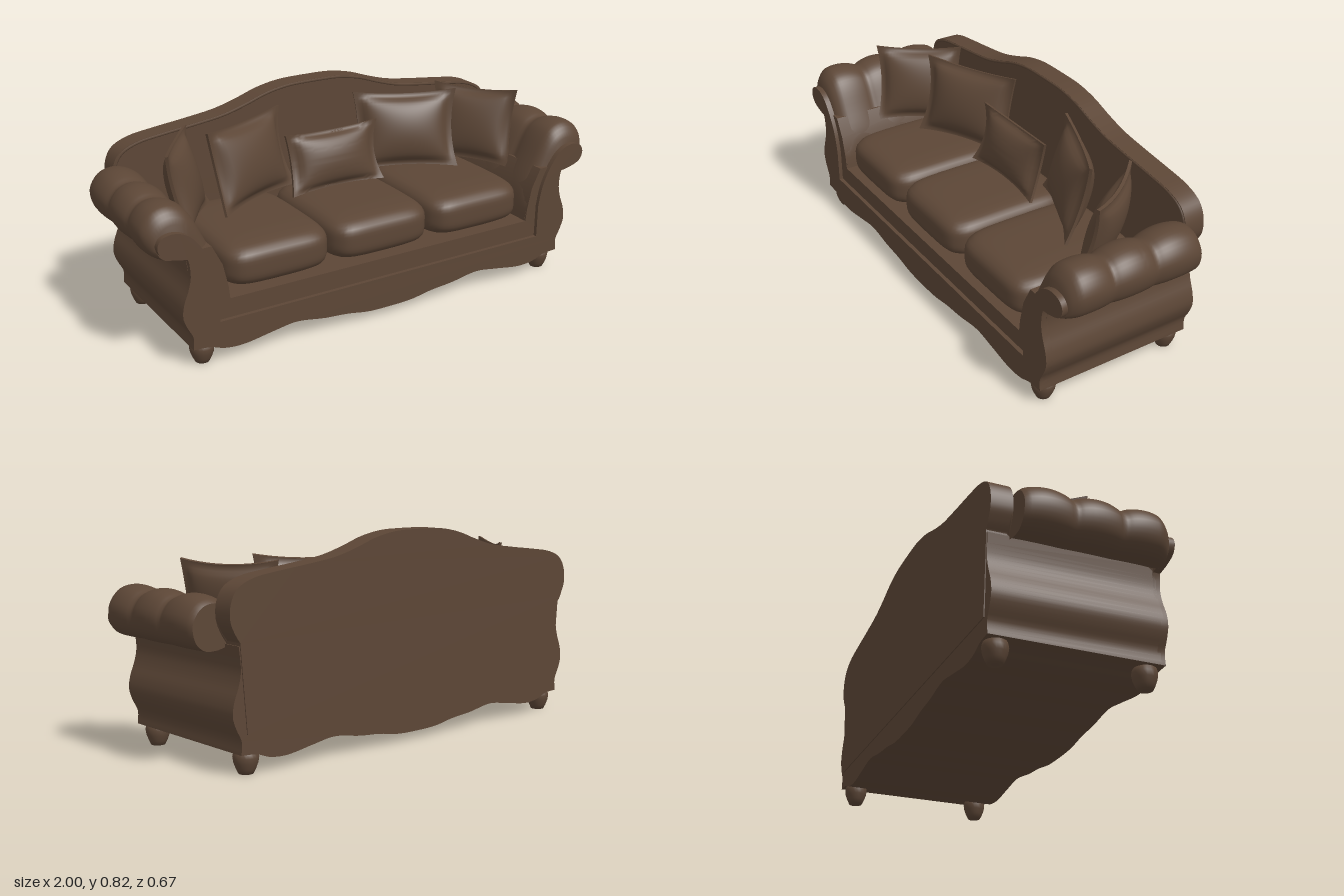
import * as THREE from 'three';
import { mergeVertices, toCreasedNormals } from 'three/addons/utils/BufferGeometryUtils.js';

const fabric = new THREE.MeshStandardMaterial({ color: 0x5c4636 });
fabric.name = 'brown upholstery';

const smooth = (pts, n = 32) =>
  new THREE.SplineCurve(pts.map(([x, y]) => new THREE.Vector2(x, y))).getPoints(n).map((p) => [p.x, p.y]);
const mirrored = (half) => [...half, ...half.map(([x, y]) => [-x, y]).reverse()];

function add(parent, name, geometry) {
  const mesh = new THREE.Mesh(geometry, fabric);
  mesh.name = name;
  parent.add(mesh);
  return mesh;
}

// Flat outline pushed from z0 to z1
function slab(outline, z0, z1) {
  const shape = new THREE.Shape(outline.map(([x, y]) => new THREE.Vector2(x, y)));
  const g = new THREE.ExtrudeGeometry(shape, { depth: z1 - z0, bevelEnabled: false });
  g.translate(0, 0, z0);
  return toCreasedNormals(g, 0.6);
}

function weld(g) {
  g.deleteAttribute('uv');
  g.deleteAttribute('normal');
  const m = mergeVertices(g, 1e-5);
  m.computeVertexNormals();
  return m;
}

// Rolled arm with three tufted lobes along its length
function armRoll() {
  const ring = smooth([[0.68, 0.2], [0.69, 0.29], [0.71, 0.38], [0.755, 0.48], [0.8, 0.57], [0.84, 0.613],
    [0.9, 0.63], [0.96, 0.61], [0.997, 0.55], [0.985, 0.48], [0.94, 0.442], [0.88, 0.44], [0.84, 0.44], [0.84, 0.2]], 52);
  const n = ring.length, rows = 48, zFront = 0.312, zBack = -0.25, pos = [], index = [];
  const ends = [0.13, -0.055];
  for (let r = 0; r <= rows + 2; r++) {
    const t = THREE.MathUtils.clamp((r - 1) / rows, 0, 1);
    const z = zFront + (zBack - zFront) * t;
    const lobe = z > ends[0] ? (zFront - z) / (zFront - ends[0])
      : z > ends[1] ? (ends[0] - z) / (ends[0] - ends[1]) : (ends[1] - z) / (ends[1] - zBack);
    const puff = Math.pow(Math.max(0, Math.sin(Math.PI * lobe)), 0.6);
    let k = 0.86 + 0.14 * puff;
    k *= 1 - 0.2 * Math.max(0, 1 - (zFront - z) / 0.05) ** 2;
    const cap = r === 0 || r === rows + 2;
    for (const [x, y] of ring) {
      const w = THREE.MathUtils.smoothstep(y, 0.3, 0.46), s = 1 + (k - 1) * w;
      if (cap) pos.push(0.84, 0.45, z);
      else pos.push(0.87 + (x - 0.87) * s, y > 0.44 ? 0.44 + (y - 0.44) * s : y, z);
    }
  }
  for (let r = 0; r < rows + 2; r++) {
    for (let i = 0; i < n; i++) {
      const a = r * n + i, b = r * n + (i + 1) % n;
      index.push(a, b, a + n, b, b + n, a + n);
    }
  }
  const g = new THREE.BufferGeometry();
  g.setAttribute('position', new THREE.Float32BufferAttribute(pos, 3));
  g.setIndex(index);
  return toCreasedNormals(g, 0.8);
}

// Soft box for the seat
function cushion(w, h, d) {
  const g = new THREE.BoxGeometry(2, 2, 2, 20, 12, 20), p = g.attributes.position;
  for (let i = 0; i < p.count; i++) {
    const [x, y, z] = [p.getX(i), p.getY(i), p.getZ(i)];
    const s = (Math.abs(x) ** 6 + Math.abs(y) ** 4 + Math.abs(z) ** 6) ** -0.19;
    const crown = 1 - 0.12 * (x * x + z * z) / 2;
    p.setXYZ(i, x * s * w / 2, y * s * crown * h / 2, z * s * d / 2);
  }
  return weld(g);
}

// Throw pillow: puffed middle, flat flange, pointed corners
function pillow(w, h, t) {
  const g = new THREE.BoxGeometry(2, 2, 2, 28, 28, 1), p = g.attributes.position;
  for (let i = 0; i < p.count; i++) {
    const [u, v, side] = [p.getX(i), p.getY(i), p.getZ(i)];
    const a = Math.min(1, Math.abs(u) / 0.87), b = Math.min(1, Math.abs(v) / 0.87);
    const puff = Math.pow((1 - a * a) * (1 - b * b), 0.45);
    const bend = 0.02 * u * u * v * v;
    p.setXYZ(i, u * w / 2 * (1 - 0.09 * (1 - v * v)), v * h / 2 * (1 - 0.09 * (1 - u * u)),
      side * (0.006 + puff * t / 2) + bend);
  }
  return toCreasedNormals(weld(g), 0.9);
}

export function createModel() {
  const sofa = new THREE.Group();
  sofa.name = 'sofa';

  // Scalloped hem and curved side, shared by the frame and the front facing
  const hem = smooth([[0, 0.034], [0.1, 0.037], [0.2, 0.053], [0.3, 0.062], [0.42, 0.08], [0.52, 0.068],
    [0.64, 0.05], [0.72, 0.055], [0.78, 0.075], [0.845, 0.08]], 40);
  const side = smooth([[0.845, 0.082], [0.843, 0.13], [0.865, 0.175], [0.879, 0.22], [0.872, 0.27],
    [0.853, 0.32], [0.842, 0.37], [0.845, 0.42]], 20);

  add(sofa, 'frame', slab(mirrored([...hem.slice(1), ...side, [0.85, 0.46], [0.75, 0.46], [0.71, 0.38],
    [0.69, 0.29], [0.685, 0.24]]), -0.33, 0.318));

  // Raised front facing that curls into the arm scrolls
  const scroll = smooth([[0.85, 0.438], [0.9, 0.448], [0.945, 0.468], [0.96, 0.505], [0.94, 0.537], [0.89, 0.545],
    [0.835, 0.52], [0.785, 0.455], [0.752, 0.38], [0.736, 0.3]], 36);
  add(sofa, 'frontFacing', slab(mirrored([...hem.slice(1), ...side, ...scroll, [0.735, 0.165]]), 0.305, 0.334));

  // Camel back with rounded shoulders
  const shoulders = smooth([[0.845, 0.47], [0.868, 0.505], [0.886, 0.55], [0.882, 0.61], [0.85, 0.66], [0.78, 0.69],
    [0.68, 0.705], [0.55, 0.72], [0.42, 0.738], [0.32, 0.765], [0.22, 0.798], [0.12, 0.816], [0.02, 0.819]], 56);
  add(sofa, 'backrest', slab(mirrored([[0.82, 0.15], [0.845, 0.46], ...shoulders]), -0.334, -0.25));
  const rim = mirrored(shoulders).map(([x, y]) => new THREE.Vector3(x * 0.992, y - 0.006, -0.252));
  add(sofa, 'backrestPiping', new THREE.TubeGeometry(new THREE.CatmullRomCurve3(rim), 120, 0.006, 6));

  // Arms and feet, mirrored left and right
  const footProfile = [[0, 0], [0.027, 0], [0.036, 0.018], [0.044, 0.04], [0.047, 0.06], [0.043, 0.078], [0.03, 0.088]]
    .map(([r, y]) => new THREE.Vector2(r, y));
  const arm = armRoll();
  const armMirror = arm.clone();
  for (const name of ['position', 'normal']) {
    const a = armMirror.attributes[name];
    for (let i = 0; i < a.count; i++) a.setX(i, -a.getX(i));
    // swap two corners of each triangle so faces stay outward
    for (let i = 0; i < a.count; i += 3) {
      const c = [a.getX(i), a.getY(i), a.getZ(i)];
      a.setXYZ(i, a.getX(i + 1), a.getY(i + 1), a.getZ(i + 1));
      a.setXYZ(i + 1, ...c);
    }
  }
  add(sofa, 'leftArm', arm);
  add(sofa, 'rightArm', armMirror);
  for (const s of [1, -1]) {
    for (const z of [0.28, -0.28]) {
      add(sofa, z > 0 ? 'frontFoot' : 'backFoot', new THREE.LatheGeometry(footProfile, 20)).position.set(s * 0.79, 0, z);
    }
  }

  // Seat cushions
  for (const i of [-1, 0, 1]) {
    add(sofa, 'seatCushion', cushion(0.452, 0.18, 0.56)).position.set(i * 0.453, 0.327, 0.03);
  }

  // Throw pillows fanned around the seat
  function placePillow(name, size, position, yaw, tilt) {
    const m = add(sofa, name, pillow(...size));
    m.position.set(...position);
    m.rotation.set(tilt, yaw, 0, 'YXZ');
  }
  placePillow('centrePillow', [0.43, 0.25, 0.1], [0, 0.525, -0.1], 0, -0.25);
  for (const s of [1, -1]) {
    placePillow('middlePillow', [0.44, 0.33, 0.12], [s * 0.37, 0.575, -0.125], -s * 0.42, -0.25);
    placePillow('cornerPillow', [0.37, 0.33, 0.1], [s * 0.68, 0.565, -0.06], -s * 0.97, -0.25);
  }
  return sofa;
}
